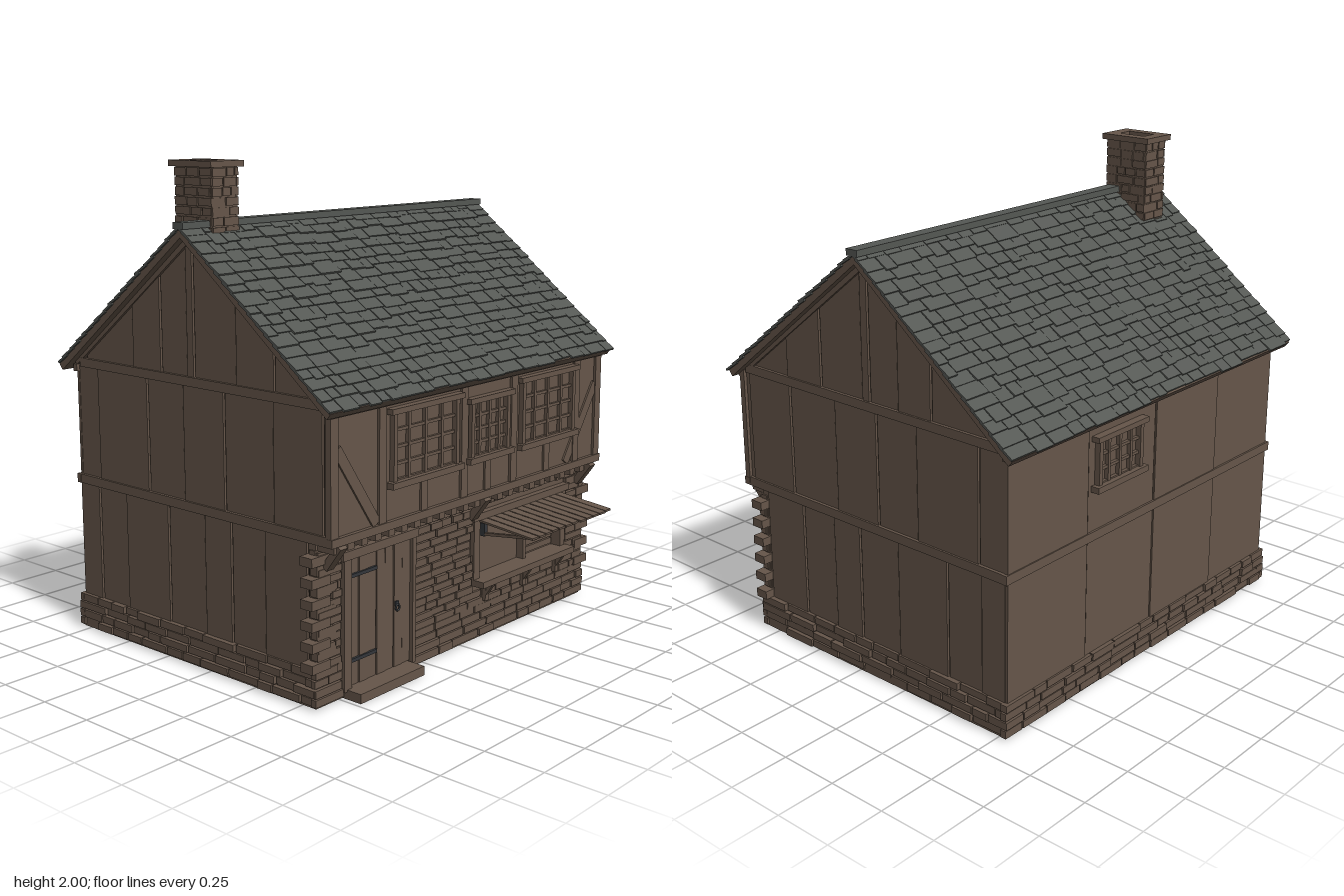
import * as THREE from 'three';
import { mergeGeometries } from 'three/addons/utils/BufferGeometryUtils.js';

export function createModel() {
  const house = new THREE.Group();
  house.name = 'house';
  const mat = (name, color) => Object.assign(new THREE.MeshStandardMaterial({ color }), { name });
  const brown = mat('brown', 0x66564a);
  const slate = mat('slate', 0x555854);
  const iron = mat('iron', 0x33363a);

  let seed = 7;
  const rnd = (a = 0, b = 1) => {
    seed = (seed * 16807) % 2147483647;
    return a + (b - a) * (seed / 2147483647);
  };

  // ---- helpers ----
  const box = (x0, x1, y0, y1, z0, z1) =>
    new THREE.BoxGeometry(x1 - x0, y1 - y0, z1 - z0)
      .translate((x0 + x1) / 2, (y0 + y1) / 2, (z0 + z1) / 2).toNonIndexed();
  // square bar between two points
  const bar = (a, b, w, d) => {
    const p = new THREE.Vector3(...a), q = new THREE.Vector3(...b);
    const dir = q.clone().sub(p), len = dir.length();
    const turn = new THREE.Quaternion().setFromUnitVectors(new THREE.Vector3(0, 1, 0), dir.normalize());
    return new THREE.BoxGeometry(w, len, d).applyQuaternion(turn)
      .translate(...p.add(q).multiplyScalar(0.5).toArray()).toNonIndexed();
  };
  const extrude = (points, depth, hole) => {
    const shape = new THREE.Shape(points.map(p => new THREE.Vector2(...p)));
    if (hole) shape.holes.push(new THREE.Path(hole.map(p => new THREE.Vector2(...p))));
    return new THREE.ExtrudeGeometry(shape, { depth, bevelEnabled: false });
  };
  // extrude a (z, y) outline along x, from x0 to x1
  const sideExtrude = (points, x0, x1) => extrude(points, x1 - x0).rotateY(-Math.PI / 2).translate(x1, 0, 0);
  const part = (name, material, geos, parent = house) => {
    const mesh = new THREE.Mesh(mergeGeometries(geos), material);
    mesh.name = name;
    parent.add(mesh);
    return mesh;
  };
  // irregular stone courses on a flat face, skipping rectangles [u0,u1,v0,v1]
  const stones = (u0, u1, v0, v1, rows, len, depth, skip = []) => {
    const out = [], h = (v1 - v0) / rows;
    for (let r = 0; r < rows; r++) {
      const y = v0 + r * h;
      for (let u = u0; u < u1 - 0.01;) {
        let end = Math.min(u + rnd(len * 0.6, len * 1.4), u1);
        const hit = skip.find(s => end > s[0] && u < s[1] && y + h > s[2] + 0.005 && y < s[3] - 0.005);
        if (hit && u >= hit[0] - 0.001) { u = hit[1]; continue; }
        if (hit) end = hit[0];
        if (end - u > 0.012) out.push(box(u + 0.003, end - 0.003, y + rnd(0.002, 0.006), y + h - 0.002, -0.01, depth * rnd(0.5, 1)));
        u = Math.max(end, u + 0.001);
      }
    }
    return out;
  };
  const place = (geos, turn, x, y, z) => geos.map(g => g.rotateY(turn).translate(x, y, z));

  // ---- main body with jettied upper floor ----
  const roofY = z => 1.725 - Math.abs(z + 0.08) * 0.795;
  part('houseBody', brown, [
    sideExtrude([[0.54, 0.01], [0.54, 0.64], [0.645, 0.64], [0.645, roofY(0.645)], [-0.08, 1.725],
      [-0.78, roofY(-0.78)], [-0.78, 0.01]], -0.87, 0.87),
    box(-0.885, 0.885, 0.005, 0.03, -0.785, 0.575),
  ]);

  // ---- ground floor front: wall with shop opening, then stonework ----
  part('frontStoneWall', brown, [extrude([[-0.88, 0.01], [0.88, 0.01], [0.88, 0.615], [-0.88, 0.615]], 0.03,
    [[0.09, 0.27], [0.09, 0.54], [0.72, 0.54], [0.72, 0.27]]).translate(0, 0, 0.54)]);
  part('frontStones', brown, place(stones(-0.88, 0.88, 0.15, 0.61, 14, 0.11, 0.018,
    [[-0.75, -0.32, 0, 0.59], [0.06, 0.74, 0.24, 0.56]]), 0, 0, 0, 0.57));
  part('plinthStones', brown, [
    ...place(stones(-0.9, 0.9, 0.01, 0.155, 4, 0.13, 0.018, [[-0.74, -0.33, 0, 0.2]]), 0, 0, 0, 0.57),
    ...place(stones(-0.9, 0.9, 0.01, 0.155, 4, 0.13, 0.022), Math.PI, 0, 0, -0.78),
    ...place(stones(-0.58, 0.79, 0.01, 0.155, 4, 0.13, 0.032), Math.PI / 2, 0.87, 0, 0),
    ...place(stones(-0.79, 0.58, 0.01, 0.155, 4, 0.13, 0.032), -Math.PI / 2, -0.87, 0, 0),
  ]);
  const quoins = [];
  for (const s of [-1, 1]) for (let i = 0; i < 11; i++) {
    const y = 0.152 + i * 0.041, long = i % 2 === 0;
    const a = s * (long ? 0.82 : 0.78), b = s * (long ? 0.92 : 0.885);
    quoins.push(box(Math.min(a, b), Math.max(a, b), y, y + 0.036, long ? 0.53 : 0.55, long ? 0.59 : 0.582));
  }
  part('cornerStones', brown, quoins);

  // ---- door ----
  const planks = [];
  for (let i = 0; i < 7; i++) {
    const x = -0.7 + i * 0.0515;
    planks.push(box(x + 0.002, x + 0.0495, 0.04, 0.55, 0.56, 0.576 + (i % 2) * 0.003));
  }
  part('doorPlanks', brown, planks);
  part('doorFrame', brown, [box(-0.745, -0.703, 0.03, 0.55, 0.56, 0.592), box(-0.342, -0.322, 0.03, 0.55, 0.56, 0.592),
    box(-0.76, -0.315, 0.55, 0.585, 0.56, 0.6)]);
  part('doorStep', brown, [box(-0.73, -0.35, 0, 0.038, 0.56, 0.66)]);
  part('doorHinges', iron, [0.135, 0.47].map(y => box(-0.7, -0.55, y, y + 0.014, 0.575, 0.586)));
  const ring = new THREE.TorusGeometry(0.012, 0.004, 6, 12).translate(-0.43, 0.285, 0.588);
  part('doorHandle', iron, [ring.toNonIndexed(), box(-0.438, -0.422, 0.29, 0.31, 0.575, 0.587)]);

  // ---- shop window, counter and awning ----
  const shutter = [];
  for (let i = 0; i < 7; i++) shutter.push(box(0.46, 0.68, 0.285 + i * 0.032, 0.311 + i * 0.032, 0.535, 0.556));
  part('shopShutter', brown, shutter);
  part('shopFrame', brown, [box(0.06, 0.1, 0.27, 0.54, 0.54, 0.59), box(0.7, 0.735, 0.27, 0.54, 0.54, 0.59),
    box(0.05, 0.75, 0.525, 0.555, 0.54, 0.598), box(0.435, 0.455, 0.27, 0.53, 0.54, 0.575)]);
  part('shopCounter', brown, [box(0.06, 0.74, 0.245, 0.272, 0.54, 0.64),
    ...[0.13, 0.4, 0.65].flatMap(x => [box(x, x + 0.025, 0.165, 0.25, 0.57, 0.6),
      bar([x + 0.0125, 0.19, 0.59], [x + 0.0125, 0.25, 0.63], 0.02, 0.016)])]);
  const slats = [];
  for (let i = 0; i < 12; i++) {
    const x = 0.117 + i * 0.05;
    slats.push(bar([x, 0.522, 0.57], [x, 0.492, rnd(0.85, 0.858)], 0.044, 0.009));
  }
  part('awningSlats', brown, slats);
  part('awningProps', brown, [0.14, 0.66].map(x => bar([x, 0.452, 0.57], [x, 0.485, 0.84], 0.016, 0.012)));
  part('awningBrackets', iron, [0.13, 0.65].map(x => box(x, x + 0.02, 0.445, 0.5, 0.565, 0.59)));

  // ---- jetty: joist ends, brackets ----
  const joists = [];
  for (let i = 0; i < 23; i++) joists.push(box(-0.865 + i * 0.077, -0.83 + i * 0.077, 0.612, 0.642, 0.56, 0.648));
  part('joistEnds', brown, joists);
  part('jettyBrackets', brown, [-0.83, 0.05, 0.83].map(x => bar([x, 0.545, 0.585], [x, 0.64, 0.655], 0.04, 0.03)));

  // ---- upper front timbers ----
  const timbers = [box(-0.89, 0.89, 0.643, 0.675, 0.63, 0.662), box(-0.89, 0.89, 1.12, 1.15, 0.63, 0.662)];
  for (const x of [-0.868, -0.6, -0.1, 0.235, 0.7, 0.868]) timbers.push(box(x - 0.021, x + 0.021, 0.67, 1.125, 0.63, 0.656));
  for (const x of [-0.35, 0.06, 0.48]) timbers.push(box(x - 0.02, x + 0.02, 0.67, 0.81, 0.63, 0.654));
  for (const s of [-1, 1]) timbers.push(bar([s * 0.85, 1.0, 0.645], [s * 0.63, 0.68, 0.645], 0.045, 0.016));
  part('frontTimbers', brown, timbers);

  // ---- windows: frame, sill, lintel and glazing bars, built facing +z ----
  const windowGeos = (x0, x1, y0, y1, cols, rows) => {
    const g = [box(x0 - 0.02, x1 + 0.02, y0 - 0.025, y0, -0.01, 0.035), box(x0 - 0.02, x1 + 0.02, y1, y1 + 0.022, -0.01, 0.032),
      box(x0, x0 + 0.02, y0, y1, -0.01, 0.022), box(x1 - 0.02, x1, y0, y1, -0.01, 0.022)];
    for (let i = 1; i < cols; i++) {
      const x = x0 + (x1 - x0) * i / cols;
      g.push(box(x - 0.007, x + 0.007, y0, y1, -0.01, 0.015));
    }
    for (let i = 0; i <= rows; i++) {
      const y = y0 + (y1 - y0) * i / rows;
      g.push(box(x0, x1, y - 0.006, y + 0.006, -0.01, 0.012));
    }
    return g;
  };
  for (const [name, ...w] of [['leftFrontWindow', 0.28, 0.67, 0.825, 1.085, 4, 4], ['middleFrontWindow', -0.07, 0.19, 0.83, 1.05, 4, 4],
    ['rightFrontWindow', -0.55, -0.15, 0.825, 1.085, 4, 4]])
    part(name, brown, place(windowGeos(...w), 0, 0, 0, 0.645));
  part('backWindow', brown, place(windowGeos(-0.37, -0.09, 0.87, 1.05, 4, 3), Math.PI, 0, 0, -0.785));

  // ---- side wall panels and beams ----
  const lower = [0.57, 0.53, 0.31, 0.13, -0.02, -0.23, -0.49, -0.66, -0.78];
  const upper = [0.65, 0.61, 0.36, 0.1, -0.13, -0.34, -0.65, -0.78];
  const gable = [0.58, 0.37, 0.17, -0.06, -0.1, -0.25, -0.42, -0.72];
  const sides = [];
  const sidePanels = (s, cuts, y0, top) => {
    for (let i = 0; i < cuts.length - 1; i++) {
      const a = cuts[i] - 0.003, b = cuts[i + 1] + 0.003, out = 0.875 + (i % 2) * 0.005;
      const pts = [[b, y0], [a, y0], [a, top(a)]];
      if (a > -0.08 && b < -0.08) pts.push([-0.08, top(-0.08)]);
      pts.push([b, top(b)]);
      sides.push(s > 0 ? sideExtrude(pts, 0.86, out) : sideExtrude(pts, -out, -0.86));
    }
  };
  for (const s of [-1, 1]) {
    sidePanels(s, lower, 0.15, () => 0.645);
    sidePanels(s, upper, 0.68, () => 1.145);
    sidePanels(s, gable, 1.178, z => Math.max(1.18, roofY(z)));
    const x0 = s > 0 ? 0.86 : -0.888, x1 = x0 + 0.028;
    sides.push(box(x0, x1, 0.642, 0.68, -0.785, 0.655), box(x0, x1, 1.143, 1.18, -0.75, 0.62));
    for (const e of [1, -1]) sides.push(bar([s * 0.875, roofY(0.62) - 0.012, -0.08 + e * 0.7], [s * 0.875, 1.705, -0.08], 0.024, 0.024));
  }
  part('sideTimbers', brown, sides);

  // ---- back wall panels and beams ----
  const back = [box(-0.89, 0.89, 0.642, 0.68, -0.792, -0.77), box(-0.89, 0.89, 1.12, 1.15, -0.792, -0.77)];
  const backCuts = [-0.88, -0.46, -0.02, 0.41, 0.88];
  for (let i = 0; i < 4; i++) for (const [y0, y1] of [[0.15, 0.643], [0.679, 1.121]])
    back.push(box(backCuts[i] + 0.003, backCuts[i + 1] - 0.003, y0, y1, -0.783 - (i % 2) * 0.004, -0.77));
  part('backTimbers', brown, back);

  // ---- roof: two slopes of overlapping slates over a board deck ----
  for (const front of [true, false]) {
    const slope = new THREE.Group();
    slope.name = front ? 'frontRoofSlope' : 'backRoofSlope';
    slope.rotation.set(Math.atan2(0.62, 0.78), front ? 0 : Math.PI, 0, 'YXZ');
    slope.position.set(0, 1.768, -0.08);
    house.add(slope);
    part('roofDeck', brown, [box(-0.92, 0.92, -0.04, -0.01, 0, 0.985)], slope);
    const tiles = [], rows = 18, step = 0.99 / rows;
    for (let r = 0; r < rows; r++) for (let x = -0.93; x < 0.925;) {
      let end = x + rnd(0.05, 0.14);
      if (end > 0.9) end = 0.93;
      const z1 = Math.min((r + 1) * step + rnd(-0.012, 0.01), 0.992), z0 = Math.max(0, r * step - 0.025);
      const length = z1 - z0;
      tiles.push(new THREE.BoxGeometry(end - x - 0.004, 0.009, length)
        .translate(0, 0, length / 2).rotateX(-rnd(0.07, 0.13))
        .translate((x + end) / 2, -0.011, z0).toNonIndexed());
      x = end;
    }
    part('roofSlates', slate, tiles, slope);
  }
  part('roofRidge', slate, [1, -1].map(e => bar([-0.93, 1.763, -0.08 + e * 0.013], [0.93, 1.763, -0.08 + e * 0.013], 0.026, 0.03)));

  // ---- chimney with brick courses and an open cap ----
  const bricks = [extrude([[-0.787, -0.243], [-0.653, -0.243], [-0.653, -0.042], [-0.787, -0.042]], 0.37,
    [[-0.755, -0.21], [-0.755, -0.08], [-0.685, -0.08], [-0.685, -0.21]])
    .rotateX(Math.PI / 2).scale(1, 1, 1).translate(0, 1.98, 0)];
  for (const [turn, half, x, z] of [[0, 0.07, -0.72, -0.042], [Math.PI, 0.07, -0.72, -0.243],
    [Math.PI / 2, 0.106, -0.653, -0.1425], [-Math.PI / 2, 0.106, -0.787, -0.1425]])
    bricks.push(...place(stones(-half, half, 1.6, 1.975, 10, 0.07, 0.007), turn, x, 0, z));
  part('chimneyShaft', brown, bricks);
  part('chimneyCap', brown, [extrude([[-0.805, -0.265], [-0.632, -0.265], [-0.632, -0.025], [-0.805, -0.025]], 0.024,
    [[-0.755, -0.21], [-0.755, -0.08], [-0.685, -0.08], [-0.685, -0.21]]).rotateX(Math.PI / 2).translate(0, 2, 0)]);

  return house;
}
